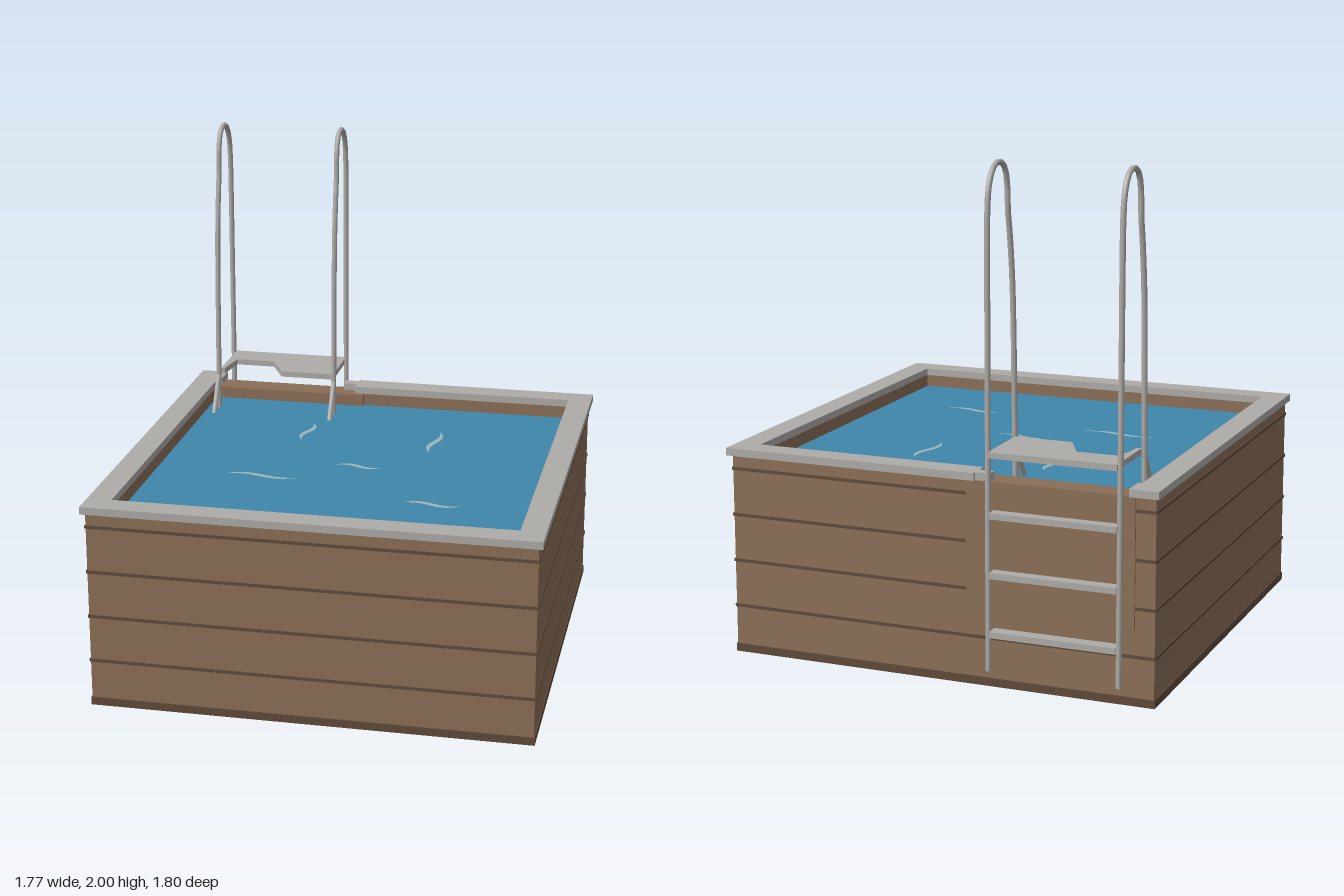
import * as THREE from 'three';

const mat = (name, color, side = THREE.FrontSide) => {
  const m = new THREE.MeshStandardMaterial({ color, side });
  m.name = name;
  return m;
};

export function createModel() {
  const wood = mat('wood', 0x8b6f57);
  const darkWood = mat('dark wood', 0x604a38);
  const grey = mat('grey', 0xaeaca8);
  const blue = mat('water blue', 0x3f86aa);
  const pale = mat('pale blue', 0x9ab5bb);

  const model = new THREE.Group();
  model.name = 'raisedPool';

  const add = (parent, name, geometry, material) => {
    const mesh = new THREE.Mesh(geometry, material);
    mesh.name = name;
    parent.add(mesh);
    return mesh;
  };
  // Box given by its limits on each axis
  const box = (parent, name, material, x0, x1, y0, y1, z0, z1) => {
    const mesh = add(parent, name, new THREE.BoxGeometry(x1 - x0, y1 - y0, z1 - z0), material);
    mesh.position.set((x0 + x1) / 2, (y0 + y1) / 2, (z0 + z1) / 2);
    return mesh;
  };
  // Rectangular frame: outer half width and z limits, width of its sides, y limits
  const frame = (parent, name, material, hx, z0, z1, w, y0, y1) => {
    const s = new THREE.Shape([[-hx, -z1], [hx, -z1], [hx, -z0], [-hx, -z0]].map(p => new THREE.Vector2(...p)));
    const ix = hx - w;
    s.holes.push(new THREE.Path([[-ix, -z1 + w], [-ix, -z0 - w], [ix, -z0 - w], [ix, -z1 + w]].map(p => new THREE.Vector2(...p))));
    const g = new THREE.ExtrudeGeometry(s, { depth: y1 - y0, bevelEnabled: false }).rotateX(-Math.PI / 2);
    add(parent, name, g, material).position.y = y0;
  };

  // Timber walls with dark joints and skirting
  frame(model, 'timberWalls', wood, 0.868, -0.846, 0.883, 0.08, 0.02, 0.81);
  for (const y of [0.2, 0.385, 0.57, 0.755]) {
    frame(model, 'boardJoint', darkWood, 0.872, -0.85, 0.887, 0.03, y - 0.006, y + 0.006);
  }
  frame(model, 'skirting', darkWood, 0.872, -0.85, 0.887, 0.085, 0.01, 0.042);

  // Liner and floor
  frame(model, 'liner', pale, 0.789, -0.767, 0.804, 0.004, 0.012, 0.74);
  box(model, 'poolFloor', pale, -0.786, 0.786, 0.07, 0.09, -0.764, 0.801);

  // Coping, with a gap at the ladder
  const coping = new THREE.Group();
  coping.name = 'coping';
  model.add(coping);
  const [c0, c1] = [0.81, 0.84];
  box(coping, 'frontCoping', grey, -0.885, 0.885, c0, c1, 0.8, 0.9);
  for (const s of [-1, 1]) {
    box(coping, 'sideCoping', grey, Math.min(s * 0.885, s * 0.787), Math.max(s * 0.885, s * 0.787), c0, c1, -0.77, 0.8);
  }
  box(coping, 'backCopingShort', grey, -0.885, -0.77, c0, c1, -0.87, -0.77);
  box(coping, 'backCopingLong', grey, -0.16, 0.885, c0, c1, -0.87, -0.77);
  box(coping, 'copingTongue', grey, -0.22, -0.16, c0, c1, -0.855, -0.81);
  box(model, 'ladderBacking', wood, -0.79, -0.12, 0.3, 0.809, -0.853, -0.745);

  // Water and ripples
  const water = add(model, 'water', new THREE.PlaneGeometry(1.572, 1.565).rotateX(-Math.PI / 2), blue);
  water.position.set(0, 0.76, 0.0185);

  // Each ripple: centre x, z, length, turned a quarter or not
  const ripples = [
    [-0.28, -0.35, 0.22, true], [0.275, -0.32, 0.27, true],
    [0.02, 0.035, 0.2, false], [-0.345, 0.22, 0.31, false], [0.385, 0.405, 0.24, false],
  ];
  for (const [x, z, length, turned] of ripples) {
    const top = [], bottom = [];
    for (let i = 0; i <= 16; i++) {
      const t = i / 16;
      const mid = 0.016 * Math.sin(t * Math.PI * 2);
      const half = 0.013 * Math.sin(t * Math.PI);
      top.push(new THREE.Vector2((t - 0.5) * length, mid + half));
      if (i > 0 && i < 16) bottom.unshift(new THREE.Vector2((t - 0.5) * length, mid - half));
    }
    const g = new THREE.ShapeGeometry(new THREE.Shape([...top, ...bottom])).rotateX(-Math.PI / 2);
    const ripple = add(model, 'ripple', g, pale);
    ripple.position.set(x, 0.764, z);
    if (turned) ripple.rotation.y = -Math.PI / 2;
  }

  // Ladder: arched rails and sloping inner legs
  const ladder = new THREE.Group();
  ladder.name = 'ladder';
  model.add(ladder);
  const railPoints = [
    [0.085, -0.885], [0.6, -0.885], [1.2, -0.885], [1.7, -0.885], [1.82, -0.882], [1.91, -0.868],
    [1.97, -0.83], [1.989, -0.775], [1.965, -0.72], [1.9, -0.695], [1.8, -0.688], [1.72, -0.672],
    [1.55, -0.648], [1.35, -0.635], [1.1, -0.627], [0.85, -0.618], [0.7, -0.615],
  ].map(([y, z]) => new THREE.Vector3(0, y, z));
  const legPoints = [[0.91, -0.622], [0.005, -0.085]].map(([y, z]) => new THREE.Vector3(0, y, z));
  for (const x of [-0.743, -0.225]) {
    const rail = add(ladder, 'handrail', new THREE.TubeGeometry(new THREE.CatmullRomCurve3(railPoints), 90, 0.011, 10), grey);
    const leg = add(ladder, 'innerLeg', new THREE.TubeGeometry(new THREE.LineCurve3(...legPoints), 1, 0.011, 10), grey);
    rail.position.x = leg.position.x = x;
    const cap = add(ladder, 'railEnd', new THREE.CircleGeometry(0.011, 10).rotateX(Math.PI / 2), grey);
    cap.position.set(x, 0.085, -0.885);
    const foot = add(ladder, 'legEnd', new THREE.SphereGeometry(0.011, 10, 6), grey);
    foot.position.set(x, 0.011, -0.087);
  }

  // Outer treads
  for (const y of [0.23, 0.46, 0.69]) {
    box(ladder, 'tread', grey, -0.735, -0.233, y - 0.012, y + 0.012, -0.9, -0.847);
  }

  // Notched platform
  const outline = [
    [-0.735, 0.9], [-0.735, 0.63], [-0.718, 0.63], [-0.698, 0.77],
    [-0.53, 0.77], [-0.462, 0.635], [-0.23, 0.635], [-0.23, 0.9],
  ].map(p => new THREE.Vector2(...p));
  const platform = new THREE.ExtrudeGeometry(new THREE.Shape(outline), { depth: 0.024, bevelEnabled: false }).rotateX(-Math.PI / 2);
  add(ladder, 'platform', platform, grey).position.y = 0.91;

  return model;
}
